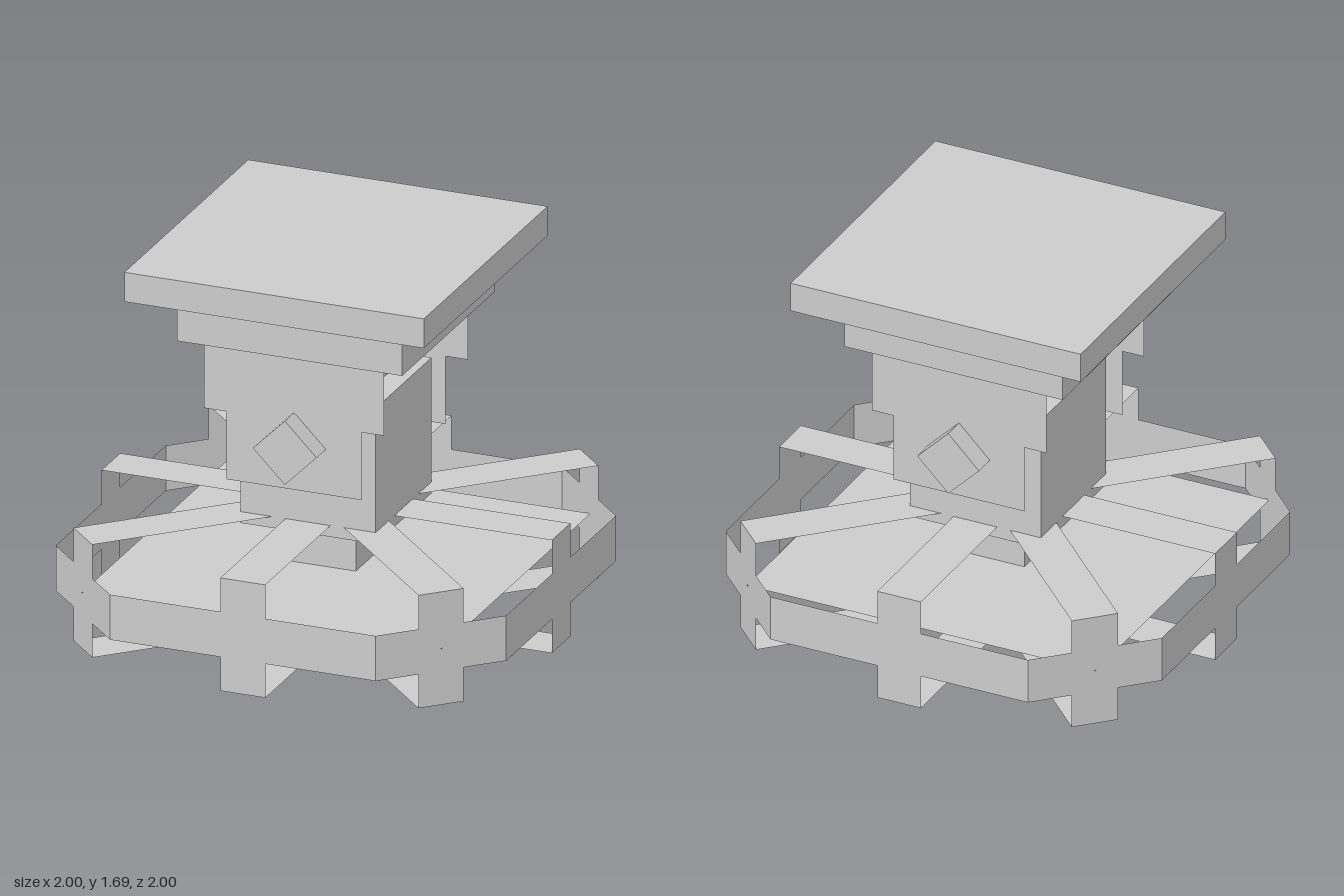
import * as THREE from 'three';

export function createModel() {
  const root = new THREE.Group();
  root.name = 'pedestalWithWheel';
  const grey = new THREE.MeshStandardMaterial({ color: 0xcccccc, side: THREE.DoubleSide });
  grey.name = 'lightGrey';

  const add = (name, geometry, parent = root) => {
    const mesh = new THREE.Mesh(geometry, grey);
    mesh.name = name;
    parent.add(mesh);
    return mesh;
  };

  // Centred square block between two heights
  const block = (name, half, y0, y1) => {
    add(name, new THREE.BoxGeometry(half * 2, y1 - y0, half * 2)).position.y = (y0 + y1) / 2;
  };
  block('foot', 0.2, 0, 0.1);
  block('lowerNeck', 0.15, 0.1, 0.5);
  block('body', 0.3, 0.5, 1.1);
  block('upperNeck', 0.2, 1.1, 1.2);
  block('capitalLower', 0.3, 1.25, 1.35);
  block('capital', 0.5, 1.35, 1.55);
  block('tableTop', 0.665, 1.56, 1.69);

  // Thin square floor inside the wheel
  const floor = add('wheelFloor', new THREE.PlaneGeometry(1.6, 1.6));
  floor.rotation.x = -Math.PI / 2;
  floor.position.y = 0.3;

  // Eight wheel sectors: rim panel, upright end tab, upper and lower spoke strips
  for (let i = 0; i < 8; i++) {
    const diagonal = i % 2 === 1;
    const reach = diagonal ? 0.795 * Math.SQRT2 : 1;
    const half = diagonal ? 0.205 * Math.SQRT2 : 0.59;
    const sector = new THREE.Group();
    sector.name = 'wheelSector';
    sector.rotation.y = (i * Math.PI) / 4;
    root.add(sector);

    // Cross-shaped outline: rim panel and tab as one face
    const cross = new THREE.Shape([
      [-half, 0.2], [-0.1, 0.2], [-0.1, 0.05], [0.1, 0.05], [0.1, 0.2], [half, 0.2],
      [half, 0.4], [0.1, 0.4], [0.1, 0.55], [-0.1, 0.55], [-0.1, 0.4], [-half, 0.4],
    ].map(([x, y]) => new THREE.Vector2(x, y)));
    add('rimPanel', new THREE.ShapeGeometry(cross), sector).position.z = reach;

    for (const y of [0.05, 0.55]) {
      const strip = add('spoke', new THREE.PlaneGeometry(0.2, reach), sector);
      strip.rotation.x = -Math.PI / 2;
      strip.position.set(0, y, reach / 2);
    }
  }

  // Thin T-shaped side plates and the diamond pegs through them, front and back
  const tee = new THREE.Shape([
    [-0.3, 0.75], [0.3, 0.75], [0.3, 1.05], [0.4, 1.05],
    [0.4, 1.35], [-0.4, 1.35], [-0.4, 1.05], [-0.3, 1.05],
  ].map(([x, y]) => new THREE.Vector2(x, y)));
  for (const angle of [0, Math.PI]) {
    const face = new THREE.Group();
    face.name = angle ? 'backSupport' : 'frontSupport';
    face.rotation.y = angle;
    root.add(face);
    add('supportPlate', new THREE.ShapeGeometry(tee), face).position.z = 0.45;
    const peg = add('diamondPeg', new THREE.BoxGeometry(0.2, 0.2, 0.25), face);
    peg.rotation.z = Math.PI / 4;
    peg.position.set(0, 0.95, 0.425);
  }
  return root;
}
